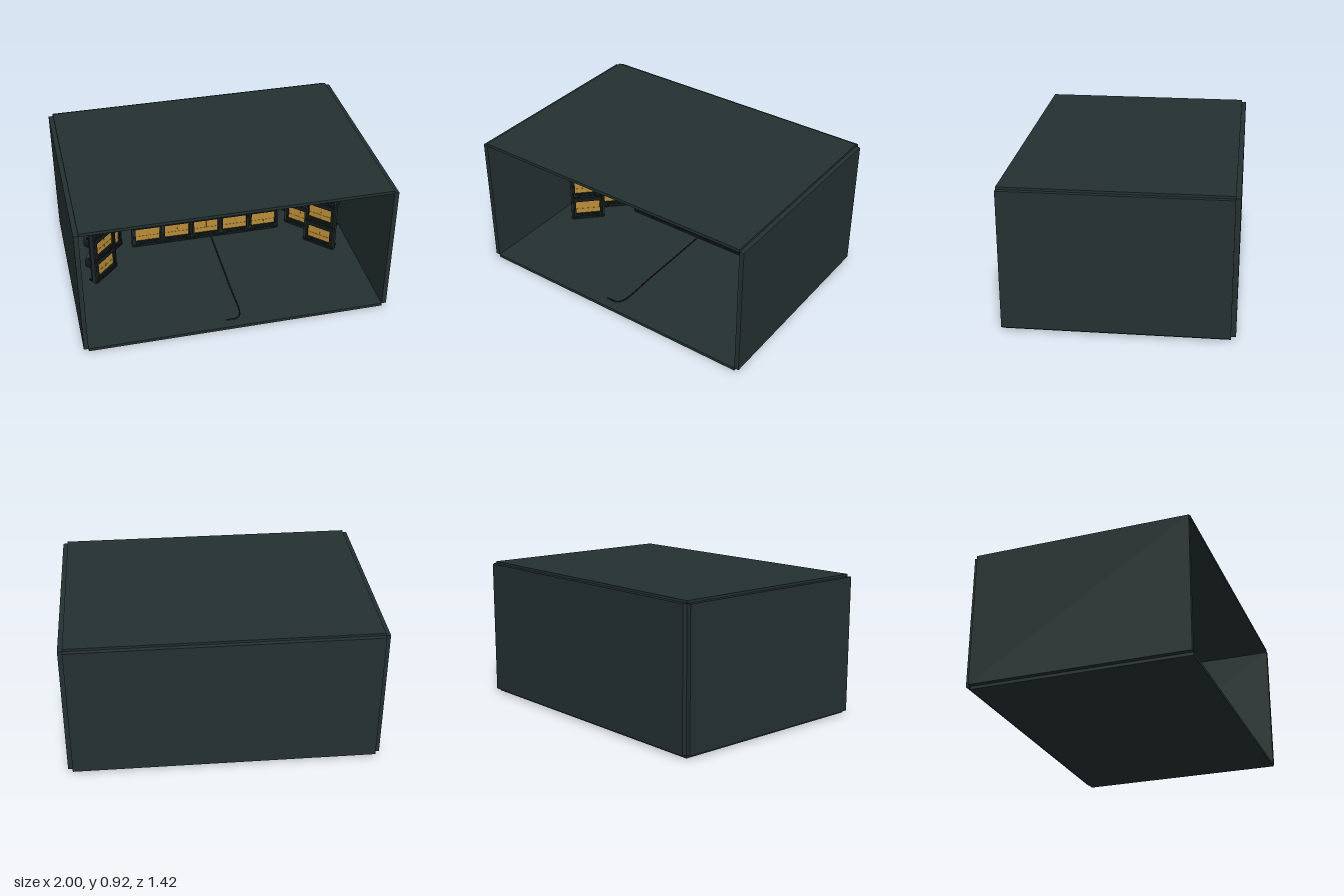
import * as THREE from 'three';

const mat = (name, color) => {
  const m = new THREE.MeshStandardMaterial({ color });
  m.name = name;
  return m;
};

export function createModel() {
  const root = new THREE.Group();
  root.name = 'monitorRoom';

  const wall = mat('darkTealWall', 0x243030);
  const steel = mat('rackSteel', 0x1e2929);
  const black = mat('casingBlack', 0x121a1b);
  const amber = mat('amberScreen', 0xba8d36);
  const amberDark = mat('amberScanline', 0x9a742c);
  const idle = mat('idleScreen', 0x1b2829);
  const grey = mat('greyReadout', 0x8d9694);

  const box = (parent, name, m, w, h, d, x, y, z) => {
    const mesh = new THREE.Mesh(new THREE.BoxGeometry(w, h, d), m);
    mesh.name = name;
    mesh.position.set(x, y, z);
    parent.add(mesh);
    return mesh;
  };

  // Room shell, open at the front
  box(root, 'floor', wall, 1.94, 0.02, 1.39, 0, 0.01, 0.015);
  box(root, 'ceiling', wall, 1.94, 0.02, 1.39, 0, 0.91, 0.015);
  box(root, 'backWall', wall, 1.94, 0.885, 0.03, 0, 0.4625, -0.695);
  for (const s of [-1, 1]) box(root, 'sideWall', wall, 0.03, 0.885, 1.39, s * 0.985, 0.4625, 0.015);

  // Shared monitor geometries
  const ring = (w, h, iw, ih, depth) => {
    const rect = (P, a, b) => new P([[-a, -b], [a, -b], [a, b], [-a, b]].map(([x, y]) => new THREE.Vector2(x / 2, y / 2)));
    const shape = rect(THREE.Shape, w, h);
    shape.holes.push(rect(THREE.Path, iw, ih));
    return new THREE.ExtrudeGeometry(shape, { depth, bevelEnabled: false });
  };
  const frameGeo = ring(0.2, 0.146, 0.188, 0.132, 0.03);
  const bezelGeo = ring(0.188, 0.132, 0.172, 0.104, 0.022);
  const tubeGeo = new THREE.CylinderGeometry(0.07, 0.06, 0.07, 24).rotateX(-Math.PI / 2);

  const add = (parent, name, geo, m, z) => {
    const mesh = new THREE.Mesh(geo, m);
    mesh.name = name;
    mesh.position.z = z;
    parent.add(mesh);
  };

  // One monitor, facing +z, screen centre at its origin
  const monitor = (parent, x, y, isIdle = false) => {
    const g = new THREE.Group();
    g.name = isIdle ? 'statusMonitor' : 'monitor';
    g.position.set(x, y, 0);
    parent.add(g);
    add(g, 'monitorFrame', frameGeo, steel, -0.018);
    add(g, 'bezel', bezelGeo, black, -0.012);
    box(g, 'casing', black, 0.19, 0.136, 0.04, 0, 0, -0.036);
    add(g, 'pictureTube', tubeGeo, black, -0.085);
    box(g, 'foot', black, 0.11, 0.012, 0.05, 0, -0.074, -0.008);
    for (const s of [-1, 1]) box(g, 'knob', black, 0.014, 0.01, 0.01, s * 0.05, -0.064, 0.014);
    if (isIdle) {
      box(g, 'screen', idle, 0.174, 0.106, 0.008, 0, 0, -0.008);
      const lines = [
        [amber, -0.035, 0.028, 0.075], [amberDark, -0.05, 0.006, 0.04], [amberDark, 0.01, 0.006, 0.06],
        [grey, -0.053, -0.02, 0.035], [grey, -0.01, -0.02, 0.035],
      ];
      for (const [m, lx, ly, w] of lines) box(g, 'readoutLine', m, w, 0.005, 0.002, lx, ly, -0.003);
    } else {
      box(g, 'screen', amber, 0.174, 0.106, 0.008, 0, 0, -0.008);
      box(g, 'scanlineAcross', amberDark, 0.172, 0.002, 0.002, 0, -0.015, -0.0035);
      box(g, 'scanlineDown', amberDark, 0.002, 0.104, 0.002, 0.005, 0, -0.0035);
    }
  };

  // A rack of monitors with posts and shelves
  const ROWS = 5, PITCH = 0.174, FIRST = 0.115;
  const rack = (name, columns, pitch, x, z, turn) => {
    const g = new THREE.Group();
    g.name = name;
    g.position.set(x, 0, z);
    g.rotation.y = turn;
    root.add(g);
    const width = columns * pitch;
    for (let c = 0; c <= columns; c++) {
      box(g, 'rackPost', steel, 0.014, 0.88, 0.03, -width / 2 + c * pitch, 0.46, -0.012);
    }
    for (let r = 0; r <= ROWS; r++) {
      box(g, 'shelf', black, width, 0.012, 0.07, 0, FIRST + (r - 0.5) * PITCH, -0.025);
    }
    for (let r = 0; r < ROWS; r++) {
      for (let c = 0; c < columns; c++) {
        const cx = (c - (columns - 1) / 2) * pitch;
        monitor(g, cx, FIRST + r * PITCH, columns > 1 && r === 2 && c === 2);
      }
    }
  };
  rack('mainRack', 5, 0.21, 0, -0.26, 0);
  for (const s of [-1, 1]) {
    for (let i = 0; i < 3; i++) {
      rack('sideRack', 1, 0.222, s * (0.755 - i * 0.0725), 0.005 - i * 0.237, -s * Math.PI / 4);
    }
  }

  // Cable runs along the back wall
  for (let r = 1; r < ROWS; r++) {
    box(root, 'wallCable', black, 1.92, 0.01, 0.012, 0, FIRST + (r - 0.5) * PITCH, -0.674);
  }

  // Ceiling lamps with hangers
  for (const s of [-1, 1]) {
    box(root, 'ceilingLamp', black, 0.13, 0.022, 0.08, s * 0.29, 0.868, -0.12);
    box(root, 'lampArm', black, 0.2, 0.01, 0.03, s * 0.33, 0.859, -0.12);
    box(root, 'lampHanger', black, 0.012, 0.035, 0.012, s * 0.29, 0.89, -0.12);
  }

  // Floor cable leading to the main rack
  const path = new THREE.CatmullRomCurve3([
    [-0.07, 0.64], [0, 0.64], [0.03, 0.61], [0.035, 0.3], [0.035, -0.26],
  ].map(([x, z]) => new THREE.Vector3(x, 0.022, z)), false, 'centripetal');
  const cable = new THREE.Mesh(new THREE.TubeGeometry(path, 32, 0.004, 6), black);
  cable.name = 'floorCable';
  root.add(cable);

  return root;
}
